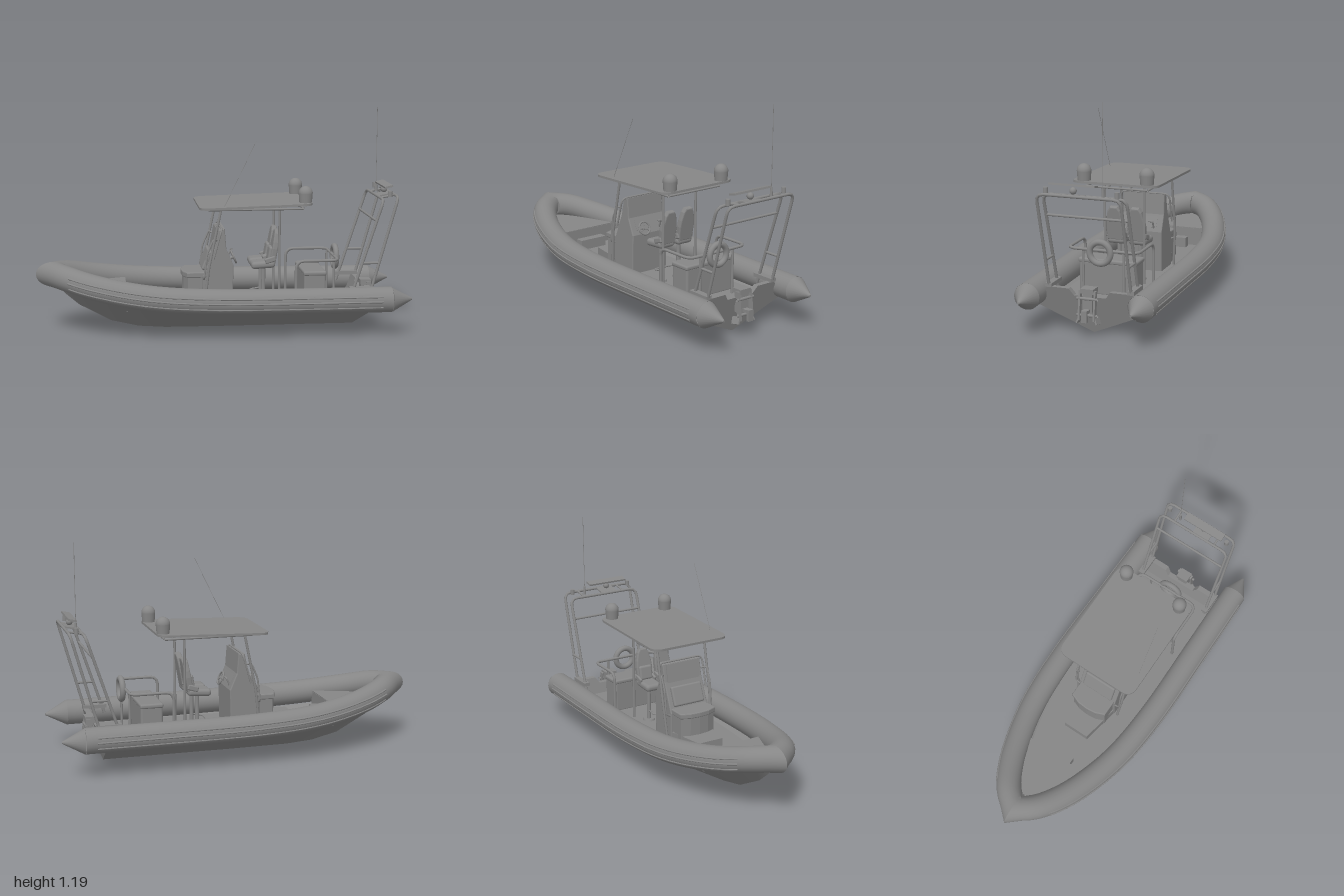
import * as THREE from 'three';
import { RoundedBoxGeometry } from 'three/addons/geometries/RoundedBoxGeometry.js';
import { toCreasedNormals } from 'three/addons/utils/BufferGeometryUtils.js';

const GREY = 0x868686;
const mat = new THREE.MeshStandardMaterial({ color: GREY });
const thin = new THREE.MeshStandardMaterial({ color: GREY, side: THREE.DoubleSide });
const V = (x, y, z) => new THREE.Vector3(x, y, z);

export function createModel() {
  const boat = new THREE.Group();
  boat.name = 'inflatableBoat';

  const add = (name, geo, pos = [0, 0, 0], rot = [0, 0, 0], m = mat) => {
    const mesh = new THREE.Mesh(geo, m);
    mesh.name = name;
    mesh.position.set(...pos);
    mesh.rotation.set(...rot);
    boat.add(mesh);
  };
  const box = (name, size, pos, rot) => add(name, new THREE.BoxGeometry(...size), pos, rot);
  const soft = (name, size, pos, rot, r = 0.012) => add(name, new RoundedBoxGeometry(...size, 3, r), pos, rot);
  const cyl = (name, r0, r1, h, pos, rot) => add(name, new THREE.CylinderGeometry(r0, r1, h, 20), pos, rot);

  // Bent pipe: straight runs with rounded corners
  const pipe = (name, pts, r = 0.007, bend = 0.035) => {
    const p = pts.map((a) => V(...a));
    const path = new THREE.CurvePath();
    let from = p[0];
    for (let i = 1; i < p.length - 1; i++) {
      const b = Math.min(bend, p[i].distanceTo(p[i - 1]) * 0.45, p[i].distanceTo(p[i + 1]) * 0.45);
      const a = p[i].clone().add(p[i - 1].clone().sub(p[i]).setLength(b));
      const c = p[i].clone().add(p[i + 1].clone().sub(p[i]).setLength(b));
      path.add(new THREE.LineCurve3(from, a));
      path.add(new THREE.QuadraticBezierCurve3(a, p[i], c));
      from = c;
    }
    path.add(new THREE.LineCurve3(from, p[p.length - 1]));
    add(name, new THREE.TubeGeometry(path, p.length > 2 ? 60 : 1, r, 10, false), undefined, undefined, thin);
  };

  // Flat outline extruded through a centred thickness
  const slab = (pts, depth, bevel = 0) => {
    const shape = new THREE.Shape(pts.map((p) => new THREE.Vector2(...p)));
    return new THREE.ExtrudeGeometry(shape, {
      depth, bevelEnabled: bevel > 0, bevelSize: bevel, bevelThickness: bevel, bevelSegments: 3,
    }).translate(0, 0, -depth / 2);
  };

  // Surface through rows of points
  const loft = (rows) => {
    const n = rows[0].length, idx = [];
    for (let i = 0; i < rows.length - 1; i++)
      for (let j = 0; j < n - 1; j++) {
        const a = i * n + j;
        idx.push(a, a + 1, a + n, a + 1, a + n + 1, a + n);
      }
    const g = new THREE.BufferGeometry();
    g.setAttribute('position', new THREE.Float32BufferAttribute(rows.flat(2), 3));
    g.setIndex(idx);
    return toCreasedNormals(g, 0.6);
  };

  // Buoyancy tubes, mitred at the bow, with rubbing strakes on the outside
  const collar = new THREE.CatmullRomCurve3([
    [-0.905, 0.31, 0], [-0.83, 0.3, 0.09], [-0.69, 0.268, 0.175], [-0.5, 0.236, 0.243],
    [-0.3, 0.216, 0.287], [0, 0.204, 0.309], [0.45, 0.199, 0.306], [0.885, 0.197, 0.3],
  ].map((p) => V(...p)));
  const sweep = (side, radius, angle, offset, t0, t1) => {
    const rows = [];
    for (let i = 0; i <= 48; i++) {
      const t = t0 + (t1 - t0) * (i / 48), c = collar.getPointAt(t), d = collar.getTangentAt(t);
      const out = t === 0 ? V(-1.4, 0, 0) : V(-d.z, 0, d.x).normalize();
      const row = [];
      for (let j = 0; j <= 24; j++) {
        const a = (j / 24) * Math.PI * 2;
        const u = Math.cos(a) * radius + Math.cos(angle) * offset;
        const v = Math.sin(a) * radius + Math.sin(angle) * offset;
        row.push([c.x + out.x * u, c.y + v, side * Math.max(0, c.z + out.z * u)]);
      }
      rows.push(row);
    }
    return loft(rows);
  };
  for (const s of [1, -1]) {
    add('buoyancyTube', sweep(s, 0.068, 0, 0, 0, 1), undefined, undefined, thin);
    add('tubeEndCone', new THREE.CylinderGeometry(0.006, 0.068, 0.116, 24),
      [0.942, 0.196, s * 0.296], [0, s * 0.07, -Math.PI / 2]);
    for (const a of [-0.5, 0, 0.4])
      add('rubbingStrake', sweep(s, 0.005, a, 0.067, 0.09, 0.97), undefined, undefined, thin);
    // V-shaped hull bottom: x keel, y keel, x chine, y chine, z chine
    const stations = [
      [-0.9, 0.26, -0.9, 0.28, 0.01], [-0.84, 0.2, -0.84, 0.25, 0.07], [-0.77, 0.14, -0.77, 0.225, 0.12],
      [-0.6, 0.048, -0.6, 0.18, 0.2], [-0.45, 0.013, -0.45, 0.158, 0.245], [-0.3, 0.002, -0.3, 0.147, 0.273],
      [0, 0, 0, 0.138, 0.295], [0.4, 0, 0.4, 0.133, 0.295], [0.738, 0, 0.775, 0.13, 0.29],
    ];
    add('hullBottom', loft(stations.map(([xk, yk, xc, yc, z]) => [[xk, yk, 0], [xc, yc, s * z]])), undefined, undefined, thin);
  }

  // Raked transom with a cut-out for the drive
  const halfT = [[0.29, 0.13], [0.225, 0.235], [0.11, 0.235], [0.085, 0.2]];
  const transom = slab([[0, 0], ...halfT, ...halfT.map(([z, y]) => [-z, y]).reverse()], 0.03);
  transom.rotateY(Math.PI / 2);
  const tp = transom.attributes.position;
  for (let i = 0; i < tp.count; i++) tp.setX(i, tp.getX(i) + 0.723 + tp.getY(i) * 0.285);
  transom.computeVertexNormals();
  add('transom', transom);

  // Cockpit floor and raised bow deck, cut to the line of the tubes
  const deck = (name, x0, x1, y, inset) => {
    const edge = [];
    for (let i = 0; i <= 60; i++) {
      const p = collar.getPointAt(i / 60);
      if (p.x >= x0 && p.x <= x1) edge.push([p.x, Math.max(0, p.z - inset)]);
    }
    edge.push([x1, edge[edge.length - 1][1]]);
    const g = slab([...edge, ...edge.map(([x, z]) => [x, -z]).reverse()], 0.008);
    add(name, g.rotateX(Math.PI / 2), [0, y, 0]);
  };
  deck('cockpitFloor', -0.53, 0.755, 0.138, 0.066);
  deck('bowDeck', -0.87, -0.515, 0.248, 0.025);
  box('bowBulkhead', [0.012, 0.1, 0.36], [-0.52, 0.198, 0]);
  box('bowStep', [0.05, 0.06, 0.17], [-0.49, 0.168, 0]);

  // Helm console with forward seat and step
  add('console', slab([
    [-0.1, 0.13], [-0.1, 0.3], [-0.035, 0.46], [-0.015, 0.55], [0.008, 0.555], [0.016, 0.45], [0.055, 0.36], [0.05, 0.13],
  ], 0.225, 0.006));
  const step = slab([[-0.32, -0.075], [-0.32, 0.075], [-0.1, 0.115], [-0.1, -0.115]], 0.06);
  add('consoleStep', step.rotateX(Math.PI / 2), [0, 0.165, 0]);
  const seatPlan = [[-0.19, -0.105], [-0.21, -0.055], [-0.215, 0], [-0.21, 0.055], [-0.19, 0.105], [-0.1, 0.105], [-0.1, -0.105]];
  add('forwardSeatBox', slab(seatPlan, 0.15).rotateX(Math.PI / 2), [0.005, 0.22, 0]);
  add('forwardSeatCushion', slab(seatPlan, 0.018, 0.006).rotateX(Math.PI / 2), [0.004, 0.31, 0]);
  soft('forwardBackrest', [0.025, 0.11, 0.19], [-0.08, 0.385, 0], [0, 0, -0.38], 0.01);
  box('windscreen', [0.006, 0.1, 0.2], [-0.034, 0.505, 0], [0, 0, -0.2]);
  box('instrumentPanel', [0.006, 0.06, 0.17], [0.038, 0.41, 0], [0, 0, 0.42]);
  const wheelHub = [0.068, 0.395, 0.045];
  const wheel = new THREE.TorusGeometry(0.035, 0.005, 8, 28).rotateY(Math.PI / 2).rotateZ(0.42);
  add('steeringWheel', wheel, wheelHub);
  cyl('steeringHub', 0.008, 0.008, 0.04, [0.055, 0.39, 0.045], [0, 0, -1.15]);
  for (let i = 0; i < 3; i++) {
    const a = (i / 3) * Math.PI * 2;
    pipe('wheelSpoke', [wheelHub, [0.068 - Math.cos(a) * 0.014, 0.395 + Math.cos(a) * 0.032, 0.045 + Math.sin(a) * 0.035]], 0.003);
  }
  pipe('throttle', [[0.045, 0.37, -0.07], [0.068, 0.42, -0.07], [0.068, 0.42, -0.045]], 0.005, 0.01);
  pipe('windscreenRail', [[-0.05, 0.4, 0.14], [-0.005, 0.562, 0.14], [-0.005, 0.562, -0.14], [-0.05, 0.4, -0.14]], 0.005);
  for (const s of [1, -1])
    pipe('consoleHandrail', [[-0.1, 0.29, s * 0.12], [-0.1, 0.3, s * 0.145], [-0.085, 0.43, s * 0.145], [-0.05, 0.51, s * 0.145], [-0.03, 0.5, s * 0.12]], 0.005, 0.02);

  // Two pedestal helm seats with shouldered backrests
  for (const s of [1, -1]) {
    const z = s * 0.06;
    cyl('seatBase', 0.03, 0.035, 0.012, [0.23, 0.146, z]);
    cyl('seatPedestal', 0.011, 0.011, 0.21, [0.23, 0.245, z]);
    soft('seatCushion', [0.13, 0.04, 0.1], [0.225, 0.357, z], [0, 0, 0.06], 0.018);
    const half = [[0.038, 0], [0.042, 0.075], [0.038, 0.11], [0.027, 0.155], [0.016, 0.172]];
    const back = slab([...half, ...half.map(([u, v]) => [-u, v]).reverse()], 0.016, 0.008);
    add('seatBackrest', back.rotateY(Math.PI / 2), [0.275, 0.37, z], [0, 0, -0.17]);
    soft('lumbarPad', [0.03, 0.08, 0.08], [0.268, 0.415, z], [0, 0, -0.17]);
    for (const e of [1, -1]) soft('seatBolster', [0.06, 0.03, 0.016], [0.262, 0.385, z + e * 0.045], [0, 0, 0.3], 0.007);
  }
  pipe('seatFootrest', [[0.23, 0.2, 0.06], [0.17, 0.19, 0.06], [0.17, 0.19, -0.06], [0.23, 0.2, -0.06]], 0.005, 0.02);

  // Canopy with rounded corners on a pipe frame
  const roof = new THREE.Shape(), rx0 = -0.13, rx1 = 0.475, rz = 0.235, c = 0.06;
  roof.moveTo(rx0 + c, -rz).lineTo(rx1 - c, -rz).quadraticCurveTo(rx1, -rz, rx1, -rz + c);
  roof.lineTo(rx1, rz - c).quadraticCurveTo(rx1, rz, rx1 - c, rz).lineTo(rx0 + c, rz);
  roof.quadraticCurveTo(rx0, rz, rx0, rz - c).lineTo(rx0, -rz + c).quadraticCurveTo(rx0, -rz, rx0 + c, -rz);
  const roofGeo = new THREE.ExtrudeGeometry(roof, { depth: 0.012, bevelEnabled: false }).rotateX(Math.PI / 2);
  add('canopy', roofGeo, [0, 0.694, 0], [0, 0, 0.03]);
  for (const s of [1, -1]) {
    pipe('canopyFrontPost', [[-0.1, 0.14, s * 0.135], [-0.075, 0.36, s * 0.15], [-0.01, 0.675, s * 0.15]], 0.007);
    pipe('canopyRearPost', [[0.31, 0.14, s * 0.11], [0.31, 0.685, s * 0.11]], 0.007);
    for (const z of [0.17, 0.06]) pipe('canopyFrameRail', [[-0.08, 0.672, s * z], [0.43, 0.672, s * z]], 0.006);
    // Domes on the roof
    cyl('domeBase', 0.038, 0.034, 0.05, [0.44, 0.732, s * 0.172]);
    add('domeTop', new THREE.SphereGeometry(0.038, 24, 10, 0, Math.PI * 2, 0, Math.PI / 2), [0.44, 0.757, s * 0.172]);
  }
  for (const x of [-0.08, 0, 0.12, 0.31, 0.43]) pipe('canopyCrossbar', [[x, 0.674, 0.17], [x, 0.674, -0.17]], 0.006);
  pipe('whipAntenna', [[0, 0.69, 0.2], [0.17, 1.04, 0.2]], 0.001);

  // Aft locker inside a guard rail, with a lifebuoy
  soft('aftLocker', [0.12, 0.18, 0.31], [0.5, 0.225, 0]);
  soft('aftLockerLid', [0.125, 0.025, 0.32], [0.5, 0.315, 0], undefined, 0.01);
  pipe('aftGuardRail', [
    [0.39, 0.14, 0.19], [0.39, 0.392, 0.19], [0.62, 0.392, 0.19], [0.62, 0.392, -0.19], [0.39, 0.392, -0.19], [0.39, 0.14, -0.19],
  ], 0.008, 0.045);
  for (const s of [1, -1]) pipe('guardRailLeg', [[0.61, 0.14, s * 0.11], [0.61, 0.39, s * 0.11]], 0.007);
  add('lifebuoy', new THREE.TorusGeometry(0.056, 0.016, 12, 36), [0.632, 0.382, 0.01], [0, Math.PI / 2, 0]);

  // Stern arch: two raked hoops with braces
  pipe('archFrontHoop', [[0.685, 0.2, 0.218], [0.855, 0.72, 0.218], [0.855, 0.72, -0.218], [0.685, 0.2, -0.218]], 0.008, 0.04);
  pipe('archRearHoop', [[0.785, 0.2, 0.218], [0.934, 0.735, 0.218], [0.934, 0.735, -0.218], [0.785, 0.2, -0.218]], 0.008, 0.04);
  pipe('archCrossbar', [[0.818, 0.607, 0.218], [0.818, 0.607, -0.218]], 0.007);
  for (const s of [1, -1]) {
    pipe('archSideBrace', [[0.744, 0.38, s * 0.218], [0.835, 0.38, s * 0.218]], 0.007);
    pipe('archTopBrace', [[0.855, 0.72, s * 0.13], [0.934, 0.735, s * 0.13]], 0.006);
    box('archFoot', [0.13, 0.02, 0.035], [0.74, 0.242, s * 0.218]);
    cyl('navigationLight', 0.012, 0.012, 0.03, [0.895, 0.748, s * 0.185]);
  }
  box('archPlatform', [0.075, 0.008, 0.1], [0.895, 0.73, 0.04], [0, 0, 0.19]);
  add('radarPedestal', new THREE.SphereGeometry(0.018, 16, 12), [0.895, 0.755, 0.04]);
  box('radarBar', [0.045, 0.01, 0.24], [0.895, 0.782, 0.04], [0, 0, 0.22]);
  cyl('antennaBase', 0.006, 0.008, 0.05, [0.885, 0.75, -0.11]);
  pipe('sternAntenna', [[0.885, 0.77, -0.11], [0.885, 1.19, -0.11]], 0.0015);

  // Drive bracket and step hung on the transom
  box('driveBracket', [0.05, 0.12, 0.05], [0.805, 0.18, 0]);
  box('driveBracketHead', [0.06, 0.025, 0.07], [0.805, 0.238, 0]);
  for (const s of [1, -1]) {
    box('driveArm', [0.025, 0.15, 0.01], [0.828, 0.165, s * 0.04], [0, 0, 0.12]);
    box('driveFin', [0.05, 0.04, 0.008], [0.818, 0.09, s * 0.048], [s * -0.4, 0, 0.2]);
  }
  for (const y of [0.115, 0.2]) pipe('driveCrossbar', [[0.83, y, 0.055], [0.83, y, -0.055]], 0.008);
  box('drivePlate', [0.016, 0.06, 0.03], [0.868, 0.12, 0]);
  box('driveLink', [0.06, 0.015, 0.03], [0.845, 0.14, 0]);
  return boat;
}
